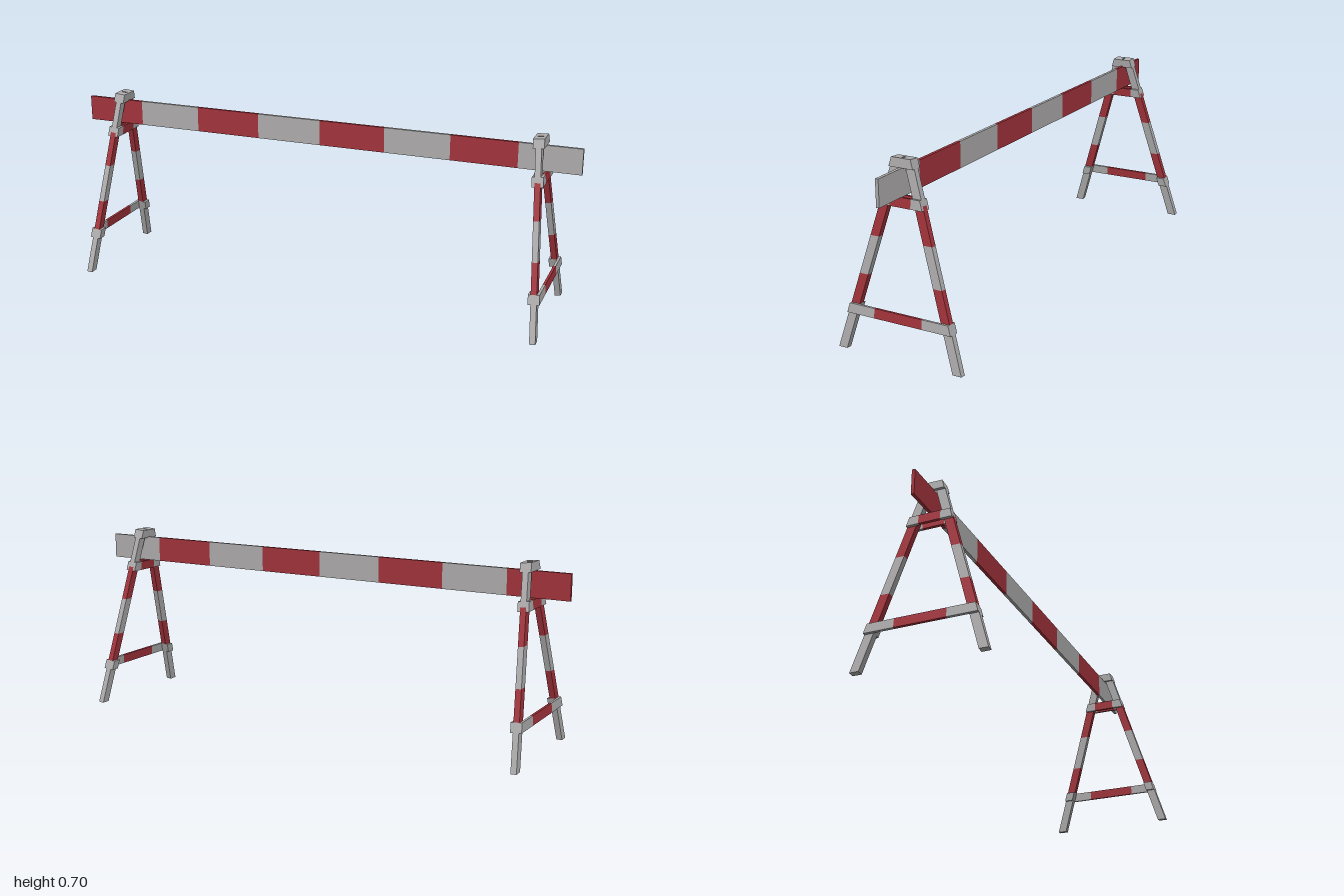
import * as THREE from 'three';

const grey = new THREE.MeshStandardMaterial({ color: 0xb0aeae });
grey.name = 'pale grey';
const red = new THREE.MeshStandardMaterial({ color: 0xa4343c });
red.name = 'signal red';

// Outer and inner edge of a splayed leg at height y
const zOut = (y) => 0.247 - 0.2996 * y;
const zIn = (y) => zOut(y) - 0.034;

// Flat prism: outline given as [z, y], running from x0 to x1
function prism(name, outline, x0, x1, material) {
  const shape = new THREE.Shape(outline.map(([z, y]) => new THREE.Vector2(z, y)));
  const geometry = new THREE.ExtrudeGeometry(shape, { depth: x1 - x0, bevelEnabled: false });
  geometry.rotateY(-Math.PI / 2).translate(x1, 0, 0);
  const mesh = new THREE.Mesh(geometry, material);
  mesh.name = name;
  return mesh;
}

// Crossbar plate with grey ends following the legs and a red middle
function crossbar(name, y0, y1, redHalf, x0, x1) {
  const bar = new THREE.Group();
  bar.name = name;
  bar.add(prism('redMiddle', [[-redHalf, y0], [redHalf, y0], [redHalf, y1], [-redHalf, y1]], x0, x1, red));
  for (const s of [-1, 1]) {
    bar.add(prism('greyEnd', [[s * redHalf, y0], [s * zOut(y0), y0], [s * zOut(y1), y1], [s * redHalf, y1]], x0, x1, grey));
  }
  return bar;
}

function createTrestle(name) {
  const trestle = new THREE.Group();
  trestle.name = name;
  const half = 0.011, outer = 0.021;

  // Striped legs
  const bands = [0, 0.17, 0.28, 0.42, 0.55, 0.7];
  for (const s of [-1, 1]) {
    const leg = new THREE.Group();
    leg.name = s > 0 ? 'frontLeg' : 'backLeg';
    for (let i = 0; i < bands.length - 1; i++) {
      const a = bands[i], b = bands[i + 1];
      leg.add(prism('legBand', [[s * zIn(a), a], [s * zOut(a), a], [s * zOut(b), b], [s * zIn(b), b]],
        -half, half, i % 2 ? red : grey));
    }
    // Clamp on the inner face, holding the lower crossbar
    leg.add(prism('clamp', [[s * zIn(0.135), 0.135], [s * zOut(0.135), 0.135], [s * zOut(0.17), 0.17], [s * zIn(0.17), 0.17]],
      -outer, -half, grey));
    trestle.add(leg);
  }

  // Lower crossbar, and paired plates that carry the board
  trestle.add(crossbar('lowerCrossbar', 0.135, 0.17, 0.095, half, outer));
  trestle.add(crossbar('outerSupport', 0.535, 0.57, 0.041, half, outer));
  trestle.add(crossbar('innerSupport', 0.535, 0.57, 0.041, -outer, -half));

  // Cap plates either side of the leg tops
  for (const [x0, x1] of [[half, outer], [-outer, -half]]) {
    trestle.add(prism('capPlate', [[-zOut(0.667), 0.667], [zOut(0.667), 0.667], [zOut(0.7), 0.7], [-zOut(0.7), 0.7]], x0, x1, grey));
  }

  // Lean the frame inward
  trestle.position.x = 0.907;
  trestle.rotation.z = 0.0885;
  return trestle;
}

export function createModel() {
  const model = new THREE.Group();
  model.name = 'roadBarrier';

  // Striped board
  const board = new THREE.Group();
  board.name = 'board';
  const stops = [-1, -0.765, -0.515, -0.255, 0, 0.26, 0.515, 0.768, 1];
  for (let i = 0; i < stops.length - 1; i++) {
    const stripe = new THREE.Mesh(new THREE.BoxGeometry(stops[i + 1] - stops[i], 0.097, 0.012), i % 2 ? grey : red);
    stripe.position.set((stops[i] + stops[i + 1]) / 2, 0.6185, 0);
    stripe.name = 'boardStripe';
    board.add(stripe);
  }
  model.add(board);

  // One trestle at each end
  const ends = ['leftTrestle', 'rightTrestle'];
  ends.forEach((name, i) => {
    const side = new THREE.Group();
    side.name = name + 'Side';
    side.add(createTrestle(name));
    side.rotation.y = i * Math.PI;
    model.add(side);
  });
  return model;
}
